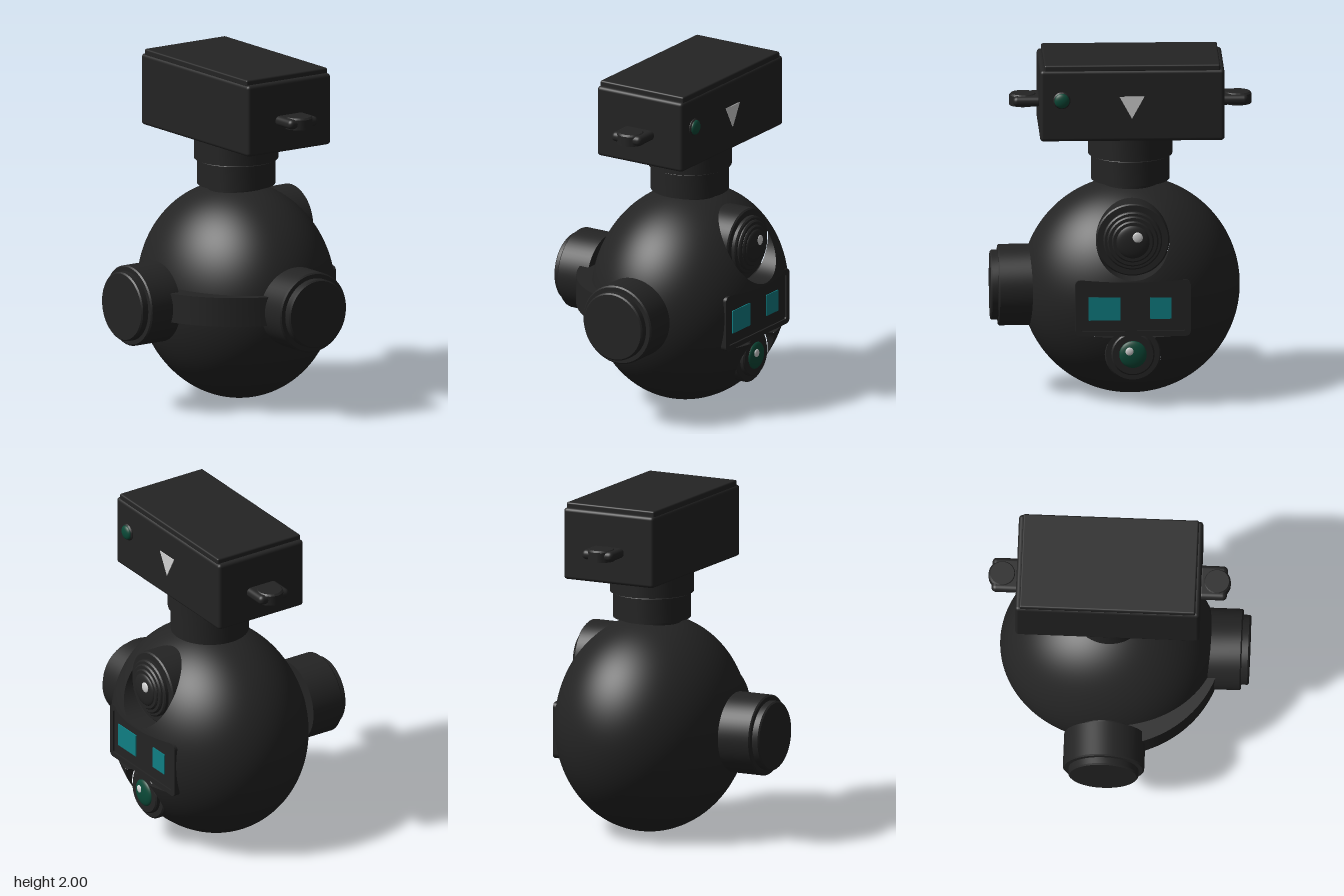
import * as THREE from 'three';
import { toCreasedNormals } from 'three/addons/utils/BufferGeometryUtils.js';
import { RoundedBoxGeometry } from 'three/addons/geometries/RoundedBoxGeometry.js';

const CENTER = new THREE.Vector3(0.13, 0.637, -0.055);
const RADII = new THREE.Vector3(0.54, 0.632, 0.632);

// Recesses on the +x side: half sizes along z (hu) and y (hv), corner radius r, floor x
const CUTS = [
  { y: 0.99, hu: 0.213, hv: 0.213, r: 0.213, floor: 0.53 },
  { y: 0.602, hu: 0.3335, hv: 0.166, r: 0.03, floor: 0.59 },
  { y: 0.325, hu: 0.163, hv: 0.163, r: 0.163, floor: 0.56 },
];

const material = (name, color, extra = {}) => {
  const m = new THREE.MeshStandardMaterial({ color, ...extra });
  m.name = name;
  return m;
};

// x of the ball surface above a point of the y-z plane
function surfaceX(y, z) {
  const a = (y - CENTER.y) / RADII.y, b = (z - CENTER.z) / RADII.z;
  return CENTER.x + RADII.x * Math.sqrt(Math.max(0, 1 - a * a - b * b));
}

// Nearest point on the edge of a recess, or null when the point is outside it
function pushToEdge(cut, y, z) {
  const u = z - CENTER.z, v = y - cut.y, cu = cut.hu - cut.r, cv = cut.hv - cut.r;
  const qu = THREE.MathUtils.clamp(u, -cu, cu), qv = THREE.MathUtils.clamp(v, -cv, cv);
  const d = Math.hypot(u - qu, v - qv);
  if (d >= cut.r - 1e-6) return null;
  if (d > 1e-9) {
    const k = cut.r / d;
    return [cut.y + qv + (v - qv) * k, CENTER.z + qu + (u - qu) * k];
  }
  if (cut.hu - Math.abs(u) < cut.hv - Math.abs(v)) return [y, CENTER.z + Math.sign(u || 1) * cut.hu];
  return [cut.y + Math.sign(v || 1) * cut.hv, z];
}

// Ellipsoid with the recesses left open
function ballGeometry() {
  const g = new THREE.SphereGeometry(1, 160, 128).rotateZ(-Math.PI / 2);
  const p = g.attributes.position, n = g.attributes.normal, inside = [];
  for (let i = 0; i < p.count; i++) {
    const v = new THREE.Vector3().fromBufferAttribute(p, i).multiply(RADII).add(CENTER);
    if (v.x > CENTER.x) {
      for (let pass = 0; pass < 2; pass++) for (const cut of CUTS) {
        const e = pushToEdge(cut, v.y, v.z);
        if (!e) continue;
        inside[i] = true;
        v.set(surfaceX(e[0], e[1]), e[0], e[1]);
      }
    }
    p.setXYZ(i, v.x, v.y, v.z);
    v.sub(CENTER).divide(RADII).divide(RADII).normalize();
    n.setXYZ(i, v.x, v.y, v.z);
  }
  const src = g.index.array, kept = [];
  for (let i = 0; i < src.length; i += 3) {
    const [a, b, c] = [src[i], src[i + 1], src[i + 2]];
    if (!(inside[a] && inside[b] && inside[c])) kept.push(a, b, c);
  }
  g.setIndex(kept);
  return g;
}

function roundRect(hu, hv, r, Type = THREE.Shape) {
  const s = new Type();
  [[1, 1], [-1, 1], [-1, -1], [1, -1]].forEach(([a, b], i) =>
    s.absarc(a * (hu - r), b * (hv - r), r, i * Math.PI / 2, (i + 1) * Math.PI / 2, false));
  s.closePath();
  return s;
}

// Inner wall of a recess, from its floor out to the ball surface
function wallGeometry(cut) {
  const pos = [], idx = [];
  const pts = roundRect(cut.hu, cut.hv, cut.r).getSpacedPoints(128);
  pts.forEach((q, i) => {
    const y = cut.y + q.y, z = CENTER.z - q.x;
    const covered = CUTS.some(o => o !== cut && pushToEdge(o, y, z));
    const top = covered ? cut.floor : Math.max(cut.floor, surfaceX(y, z));
    pos.push(cut.floor, y, z, top, y, z);
    if (i) {
      const a = 2 * i - 2;
      idx.push(a, a + 1, a + 2, a + 1, a + 3, a + 2);
    }
  });
  const g = new THREE.BufferGeometry();
  g.setAttribute('position', new THREE.Float32BufferAttribute(pos, 3));
  g.setIndex(idx);
  g.computeVertexNormals();
  return g;
}

// Flat shape in (-z, y), extruded along +x from x0 to x1
const plateX = (shape, x0, x1, y, z) =>
  new THREE.ExtrudeGeometry(shape, { depth: x1 - x0, bevelEnabled: false, curveSegments: 10 })
    .rotateY(Math.PI / 2).translate(x0, y, z);

// Turned drum with a small bevel, from a to b along y
function drum(r, a, b, bevel = 0.008) {
  const pts = [[0, a], [r, a], [r, b - bevel], [r - bevel, b], [0, b]].map(q => new THREE.Vector2(...q));
  return toCreasedNormals(new THREE.LatheGeometry(pts, 56), 0.6);
}
const drumX = (r, a, b, y, z, bevel) => drum(r, a, b, bevel).rotateZ(-Math.PI / 2).translate(0, y, z);

const dome = (r, depth, x, y, z) =>
  new THREE.SphereGeometry(1, 32, 20).scale(depth, r, r).translate(x, y, z);

export function createModel() {
  const model = new THREE.Group();
  model.name = 'sphericalCamera';
  const dark = material('darkCasing', 0x242424);
  const green = material('greenGlass', 0x0b4a38);
  const teal = material('tealWindow', 0x0f7f84);
  const pale = material('paleMark', 0xd2d2d2);
  const add = (name, geo, mat = dark, parent = model) => {
    const m = new THREE.Mesh(geo, mat);
    m.name = name;
    parent.add(m);
    return m;
  };
  const { x: cx, y: cy, z: cz } = CENTER;

  // Ball and its recess walls
  add('ball', ballGeometry());
  CUTS.forEach(cut => add('recessWall', wallGeometry(cut)));

  // Upper lens: stepped rings, dome and glint
  const ly = 0.99;
  [[0.213, 0.33, 0.53], [0.17, 0.53, 0.557], [0.148, 0.557, 0.572], [0.122, 0.572, 0.582]]
    .forEach(([r, a, b]) => add('upperLensRing', drumX(r, a, b, ly, cz)));
  add('upperLensDome', dome(0.097, 0.022, 0.58, ly, cz));
  add('upperLensGlint', dome(0.032, 0.01, 0.596, 1.018, -0.08), pale);

  // Window panel with raised frame and two windows
  const py = CUTS[1].y;
  add('windowPanel', plateX(roundRect(0.3335, 0.166, 0.03), 0.4, 0.59, py, cz));
  const frame = roundRect(0.3335, 0.166, 0.03);
  frame.holes.push(roundRect(0.3, 0.136, 0.012, THREE.Path));
  add('windowFrame', plateX(frame, 0.59, 0.6, py, cz));
  [[0.11, 0.597, 0.092, 0.068], [-0.215, 0.6, 0.061, 0.063]].forEach(([z, y, hu, hv]) =>
    add('window', plateX(roundRect(hu, hv, 0.003), 0.59, 0.596, y, z), teal));

  // Lower green lens
  const gy = 0.325;
  [[0.163, 0.4, 0.56], [0.125, 0.56, 0.588]].forEach(([r, a, b]) =>
    add('lowerLensRing', drumX(r, a, b, gy, cz)));
  add('lowerLensDome', dome(0.08, 0.024, 0.586, gy, cz), green);
  add('lowerLensGlint', dome(0.025, 0.01, 0.604, 0.345, -0.036), pale);

  // Two side pods, one to the front and one to the right
  const pod = (name, start) => {
    const g = new THREE.Group();
    g.name = name;
    add('podNeck', drum(0.158, 0.4, start + 0.01), dark, g);
    add('podBody', drum(0.235, start, 0.656), dark, g);
    add('podCap', drum(0.202, 0.656, 0.7), dark, g);
    model.add(g);
    return g;
  };
  const frontPod = pod('frontPod', 0.45);
  frontPod.rotation.x = Math.PI / 2;
  frontPod.position.set(cx, cy, 0.055);
  const rightPod = pod('rightPod', 0.45);
  rightPod.rotation.z = Math.PI / 2;
  rightPod.position.set(0.02, cy, cz - 0.005);

  // Curved strap joining the pods
  const arc = new THREE.Shape();
  arc.absarc(0, 0, 0.655, Math.PI * 0.53, Math.PI, false);
  arc.absarc(0, 0, 0.5, Math.PI, Math.PI * 0.53, true);
  arc.closePath();
  const strap = new THREE.ExtrudeGeometry(arc, { depth: 0.17, bevelEnabled: false, curveSegments: 40 })
    .rotateX(Math.PI / 2).translate(cx, 0.73, cz);
  add('strap', toCreasedNormals(strap, 0.5));

  // Neck between ball and head box
  [[0.17, 1.2, 1.27], [0.226, 1.265, 1.415], [0.243, 1.415, 1.56]].forEach(([r, a, b]) =>
    add('neckRing', drum(r, a, b).translate(cx, 0, cz)));

  // Head box and lid
  add('headBox', new RoundedBoxGeometry(0.59, 0.42, 1.065, 3, 0.02).translate(cx, 1.76, -0.0575));
  add('lid', new RoundedBoxGeometry(0.575, 0.04, 1.015, 3, 0.01).translate(cx, 1.98, -0.0575));

  // Lugs on both ends of the box
  [1, -1].forEach(s => {
    const lug = new THREE.Group();
    lug.name = s > 0 ? 'frontLug' : 'backLug';
    add('lugPlate', new RoundedBoxGeometry(0.205, 0.058, 0.17, 4, 0.027)
      .translate(cx, 1.74, cz + s * 0.595), dark, lug);
    add('lugKnob', drum(0.079, 1.706, 1.774, 0.01).translate(cx, 0, cz + s * 0.62), dark, lug);
    model.add(lug);
  });

  // Indicator light and triangle on the side of the box
  add('indicatorRing', drumX(0.05, 0.41, 0.437, 1.795, 0.35));
  add('indicatorLight', dome(0.043, 0.02, 0.436, 1.795, 0.35), green);
  const tri = new THREE.Shape([[-0.072, 0.065], [0, -0.065], [0.072, 0.065]].map(q => new THREE.Vector2(...q)));
  add('triangleMark', plateX(tri, 0.424, 0.429, 1.75, cz), pale);

  return model;
}
